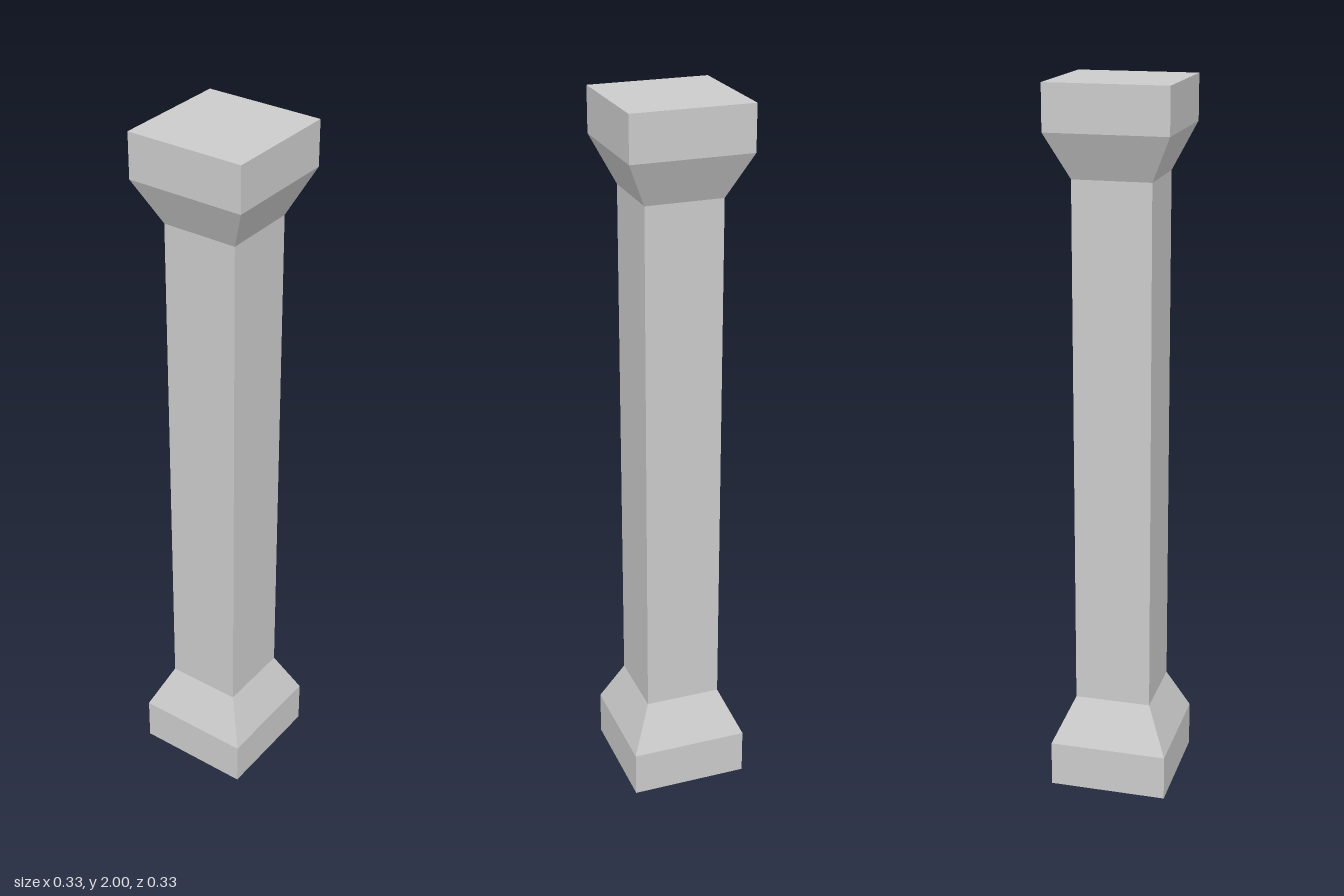
import * as THREE from 'three';

const BLOCK = 0.167; // half width of base and capital
const SHAFT = 0.108; // half width of the shaft

// Square section swept through [halfWidth, y] pairs, listed from the bottom up
function squarePart(name, profile, material) {
  const points = profile.map(([half, y]) => new THREE.Vector2(half * Math.SQRT2, y));
  const geometry = new THREE.LatheGeometry(points, 4, Math.PI / 4).toNonIndexed();
  geometry.computeVertexNormals();
  const mesh = new THREE.Mesh(geometry, material);
  mesh.name = name;
  return mesh;
}

export function createModel() {
  const group = new THREE.Group();
  group.name = 'squareColumn';
  const material = new THREE.MeshStandardMaterial({ color: 0xcccccc, flatShading: true });

  const parts = {
    // Closed foot block and the taper up to the shaft
    baseBlock: [[0, 0], [BLOCK, 0], [BLOCK, 0.13]],
    baseTaper: [[BLOCK, 0.13], [SHAFT, 0.26]],
    shaft: [[SHAFT, 0.26], [SHAFT, 1.75]],
    // Flare out to the closed top block
    capitalTaper: [[SHAFT, 1.75], [BLOCK, 1.875]],
    capitalBlock: [[BLOCK, 1.875], [BLOCK, 2], [0, 2]],
  };
  for (const [name, profile] of Object.entries(parts)) {
    group.add(squarePart(name, profile, material));
  }
  return group;
}
